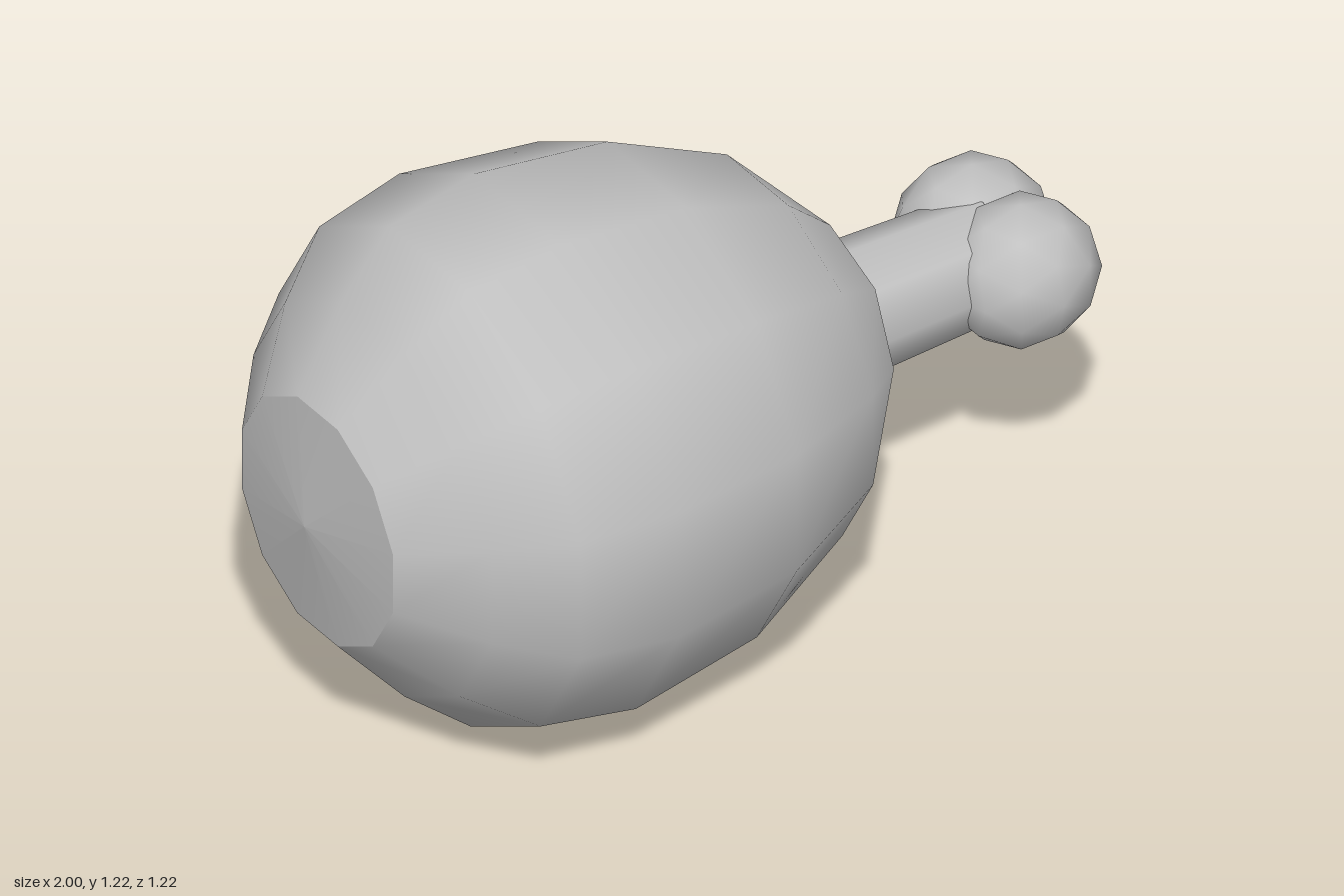
import * as THREE from 'three';

const AXIS_Y = 0.61; // height of the long axis
const SIDES = 12;
const FLAT = Math.cos(Math.PI / SIDES); // flat-to-corner ratio of a 12-gon

// Lathe along +x. Each profile entry is [x, radius across flats].
function latheX(profile) {
  const pts = profile.map(([x, r]) => new THREE.Vector2(r / FLAT, x));
  return new THREE.LatheGeometry(pts, SIDES, Math.PI / SIDES);
}

// Merge corner pairs near the axes so rings at or beyond minX become octagons.
function snapToOctagon(geo, minX) {
  const p = geo.attributes.position;
  for (let i = 0; i < p.count; i++) {
    if (p.getY(i) < minX) continue;
    const r = Math.hypot(p.getX(i), p.getZ(i)) * FLAT;
    const a = Math.atan2(p.getX(i), p.getZ(i));
    const q = Math.round(a / (Math.PI / 2)) * (Math.PI / 2);
    const b = Math.abs(a - q) < 0.35 ? q : a;
    p.setXYZ(i, r * Math.sin(b), p.getY(i), r * Math.cos(b));
  }
  return geo;
}

export function createModel() {
  const group = new THREE.Group();
  const grey = new THREE.MeshStandardMaterial({ color: 0xc0c0c0 });
  grey.name = 'plain grey';

  const add = (name, geo, x = 0, z = 0) => {
    const mesh = new THREE.Mesh(geo, grey);
    mesh.name = name;
    mesh.position.set(x, AXIS_Y, z);
    group.add(mesh);
    return mesh;
  };

  // Rounded meat body, narrowing to an octagonal rim
  const body = latheX([
    [-0.965, 0.285], [-0.82, 0.45], [-0.67, 0.57], [-0.44, 0.61],
    [-0.1, 0.565], [0.19, 0.435], [0.38, 0.24],
  ]);
  add('meatBody', snapToOctagon(body, 0.37).rotateZ(-Math.PI / 2));

  // Shallow cone closing the wide end
  add('meatEnd', latheX([[-1, 0], [-0.965, 0.285]]).rotateZ(-Math.PI / 2));

  // Hollow around the bone
  const hollow = latheX([[0.38, 0.24], [0.28, 0.14]]);
  add('boneHollow', snapToOctagon(hollow, 0).rotateZ(-Math.PI / 2));

  // Bone shaft, slightly tapered
  const shaft = new THREE.CylinderGeometry(0.14, 0.158, 0.54, 8);
  add('boneShaft', shaft.rotateZ(-Math.PI / 2), 0.51);

  // Pair of knobs at the end of the bone
  for (const side of [1, -1]) {
    const knob = new THREE.IcosahedronGeometry(0.175, 1);
    knob.scale(1.03, 0.98, 0.95);
    add(side > 0 ? 'frontKnob' : 'backKnob', knob, 0.815, side * 0.092);
  }

  return group;
}
